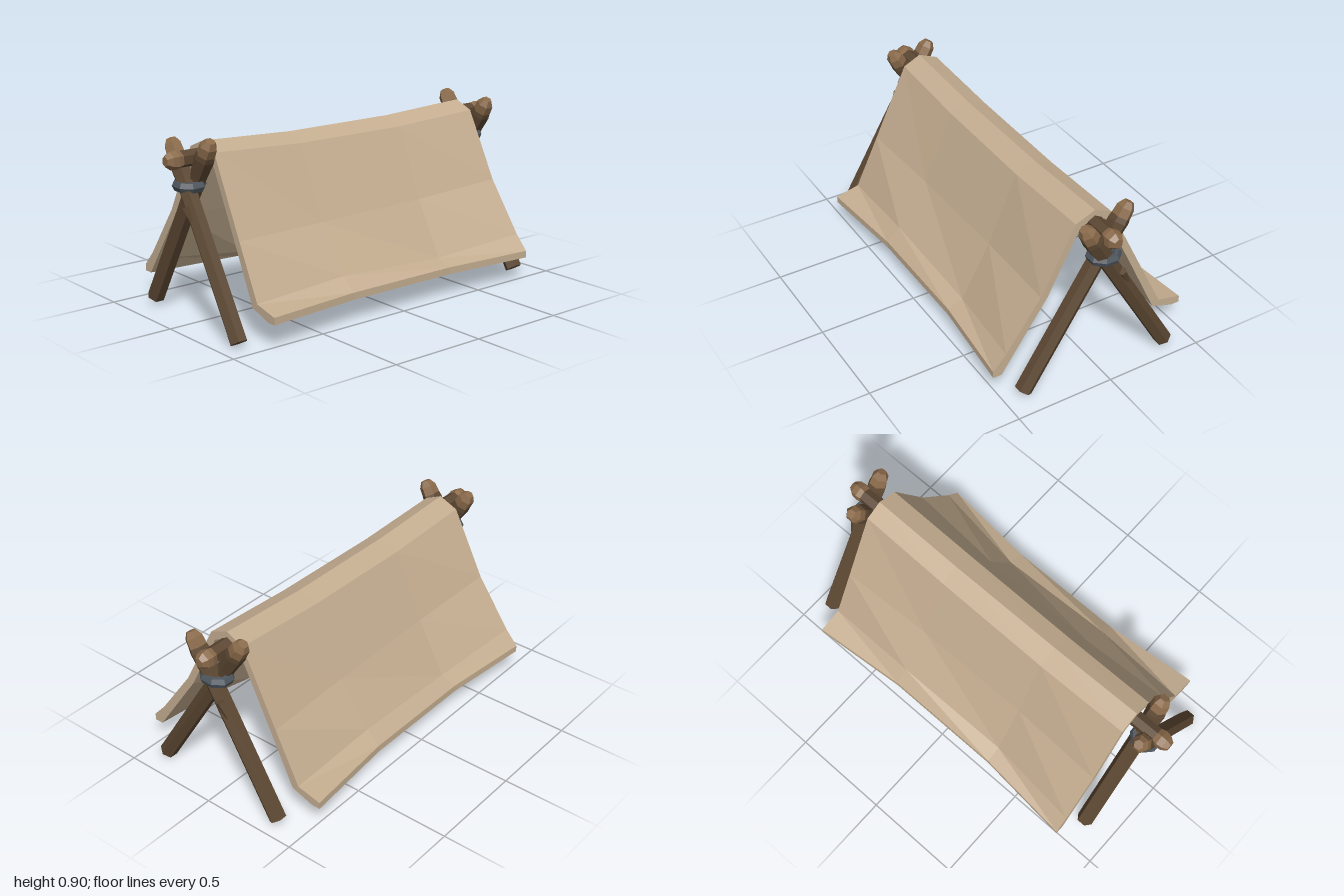
import * as THREE from 'three';

const mat = (name, color) => {
  const m = new THREE.MeshStandardMaterial({ color });
  m.name = name;
  return m;
};

// Split every face so the low-poly facets stay flat
function facet(geometry) {
  const g = geometry.index ? geometry.toNonIndexed() : geometry;
  g.computeVertexNormals();
  return g;
}

function part(name, geometry, material) {
  const mesh = new THREE.Mesh(facet(geometry), material);
  mesh.name = name;
  return mesh;
}

// Six-sided solid turned from [radius, height] pairs
const turned = (points) =>
  new THREE.LatheGeometry(points.map(([r, y]) => new THREE.Vector2(r, y)), 6);

export function createModel() {
  const bark = mat('bark brown', 0x5c4732);
  const cutWood = mat('cut wood', 0x8a6a4a);
  const canvas = mat('tan canvas', 0xc4ad90);
  const rope = mat('grey binding', 0x4e565e);
  const model = new THREE.Group();
  model.name = 'leanToTent';

  // Log from one point to another, with a pale rounded tip
  function leg(name, from, to) {
    const a = new THREE.Vector3(...from), b = new THREE.Vector3(...to);
    const len = a.distanceTo(b);
    const g = new THREE.Group();
    g.name = name;
    g.add(part('log', turned([[0, 0], [0.043, 0], [0.043, len - 0.2],
      [0.05, len - 0.1], [0.046, len - 0.075], [0, len - 0.075]]), bark));
    g.add(part('logTip', turned([[0, len - 0.076], [0.046, len - 0.076],
      [0.043, len - 0.03], [0.024, len], [0, len]]), cutWood));
    g.position.copy(a);
    g.quaternion.setFromUnitVectors(new THREE.Vector3(0, 1, 0), b.sub(a).normalize());
    return g;
  }

  // Crossed end frames: the outer leg of each carries a branch stub
  function frame(name, side, zLeft, zRight, topLeft, topRight) {
    const g = new THREE.Group();
    g.name = name;
    g.add(leg('legA', [-0.36, 0.04, zLeft], [...topLeft, zLeft]));
    g.add(leg('legB', [0.395, 0.025, zRight], [...topRight, zRight]));

    const zMid = (zLeft + zRight) / 2;
    const band = part('binding', new THREE.TorusGeometry(0.063, 0.023, 6, 8)
      .rotateX(Math.PI / 2).rotateY(Math.PI / 8).scale(1, 1.15, 0.92), rope);
    band.position.set(0, 0.672, zMid + side * 0.004);
    band.rotation.set(0.04, 0, side * -0.04);
    g.add(band);

    const stub = part('branchStub',
      new THREE.CylinderGeometry(0.022, 0.012, 0.09, 5), bark);
    stub.position.set(side * 0.085, 0.55, side > 0 ? 0.929 : -0.947);
    stub.rotation.set(side * 0.15, 0, side * 0.45);
    g.add(stub);
    model.add(g);
  }
  frame('frontFrame', 1, 0.845, 0.895, [0.135, 0.89], [-0.11, 0.87]);
  frame('backFrame', -1, -0.915, -0.865, [0.125, 0.87], [-0.145, 0.89]);

  // Ridge pole with a pale tip at each end
  const ridge = new THREE.Group();
  ridge.name = 'ridgePole';
  ridge.add(part('ridgeLog', turned([[0, -0.93], [0.04, -0.93], [0.04, 0.93], [0, 0.93]])
    .rotateX(Math.PI / 2), bark));
  for (const s of [1, -1]) {
    ridge.add(part('ridgeTip', turned([[0, 0.92], [0.04, 0.92], [0.046, 0.945],
      [0.042, 0.975], [0.024, 1], [0, 1]]).rotateX(s * Math.PI / 2), cutWood));
  }
  ridge.position.y = 0.795;
  model.add(ridge);

  // Sagging cover: half sections from ridge to hem at four stations, front to back
  const stations = [0.795, 0.3, -0.32, -0.815];
  const halves = [
    [[0, 0.865], [0.09, 0.823], [0.272, 0.447], [0.4, 0.185], [0.525, 0.155]],
    [[0, 0.842], [0.095, 0.8], [0.25, 0.445], [0.41, 0.22], [0.48, 0.155]],
    [[0, 0.842], [0.1, 0.8], [0.25, 0.455], [0.4, 0.185], [0.48, 0.155]],
    [[0, 0.865], [0.1, 0.823], [0.275, 0.485], [0.457, 0.23], [0.525, 0.155]],
  ];
  const inset = [[0, -0.035], [-0.022, -0.035], [-0.036, -0.012], [-0.035, -0.025], [-0.045, -0.035]];
  const outerHalf = (h) => [...h, [h[4][0], 0.12]];
  const innerHalf = (h) => {
    const p = h.map(([x, y], i) => [x + inset[i][0], y + inset[i][1]]);
    return [...p, p[4]];
  };
  // Full section left to right; the left half is the right half turned about y
  const section = (half, i) => [
    ...half(halves[3 - i]).slice(1).reverse().map(([x, y]) => [-x, y]),
    ...half(halves[i]),
  ].map(([x, y]) => [x, y, stations[i]]);
  const outer = stations.map((_, i) => section(outerHalf, i));
  const inner = stations.map((_, i) => section(innerHalf, i));
  const rings = outer.map((o, i) => [...o, ...[...inner[i]].reverse()]);

  const pos = [];
  const quad = (a, b, c, d) => pos.push(...a, ...b, ...c, ...a, ...c, ...d);
  for (let i = 0; i < 3; i++) {
    const n = rings[i].length;
    for (let k = 0; k < n; k++) {
      const j = (k + 1) % n;
      quad(rings[i][k], rings[i][j], rings[i + 1][j], rings[i + 1][k]);
    }
  }
  for (let k = 0; k < outer[0].length - 1; k++) {
    quad(outer[0][k], inner[0][k], inner[0][k + 1], outer[0][k + 1]);
    quad(outer[3][k], outer[3][k + 1], inner[3][k + 1], inner[3][k]);
  }
  const cover = new THREE.BufferGeometry();
  cover.setAttribute('position', new THREE.Float32BufferAttribute(pos, 3));
  model.add(part('canvasCover', cover, canvas));

  return model;
}
